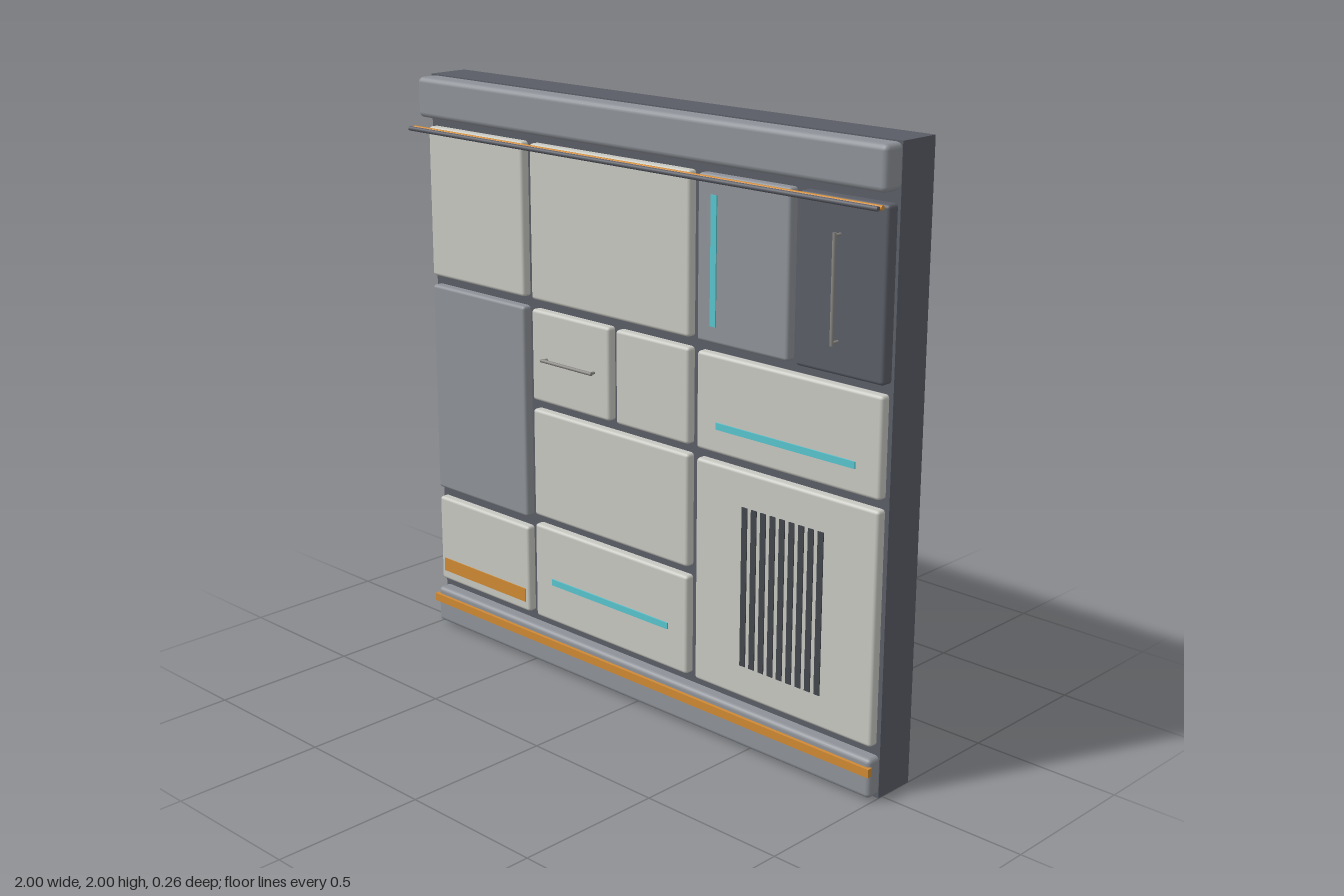
import * as THREE from 'three';
import { RoundedBoxGeometry } from 'three/addons/geometries/RoundedBoxGeometry.js';

const mat = (name, color) => {
  const m = new THREE.MeshStandardMaterial({ color });
  m.name = name;
  return m;
};

export function createModel() {
  const group = new THREE.Group();
  const dark = mat('dark grey', 0x5a5d66);
  const grey = mat('mid grey', 0x8e9298);
  const light = mat('light panel grey', 0xc8c8c2);
  const cyan = mat('cyan', 0x58c4ce);
  const orange = mat('orange', 0xd08a34);
  const vent = mat('vent grey', 0x42454c);
  const metal = mat('handle metal', 0x8a8883);

  const add = (name, geometry, material, x, y, z, parent = group) => {
    const mesh = new THREE.Mesh(geometry, material);
    mesh.name = name;
    mesh.position.set(x, y, z);
    parent.add(mesh);
    return mesh;
  };
  // Boxes are given by their limits on each axis; r > 0 softens the edges
  const box = (name, material, [x0, x1], [y0, y1], [z0, z1], r = 0) => {
    const size = [x1 - x0, y1 - y0, z1 - z0];
    const geometry = r ? new RoundedBoxGeometry(...size, 2, r) : new THREE.BoxGeometry(...size);
    return add(name, geometry, material, (x0 + x1) / 2, (y0 + y1) / 2, (z0 + z1) / 2);
  };

  // Wall slab with top and bottom beams
  box('wallSlab', dark, [-1, 1], [0, 2], [-0.13, 0.018]);
  box('topBeam', grey, [-0.997, 0.997], [1.86, 1.996], [0, 0.085], 0.018);
  box('bottomBeam', grey, [-0.997, 0.997], [0.01, 0.14], [0, 0.063], 0.015);
  box('bottomStripe', orange, [-1, 1], [0.088, 0.116], [0.055, 0.074]);

  // Raised panels: colour, x limits, y limits, front depth
  const panels = [
    [light, [-0.99, -0.52], [1.305, 1.825], 0.048],
    [light, [-0.485, 0.23], [1.305, 1.825], 0.048],
    [grey, [0.265, 0.63], [1.305, 1.825], 0.05],
    [dark, [0.665, 0.99], [1.305, 1.825], 0.057],
    [grey, [-0.99, -0.52], [0.525, 1.272], 0.05],
    [light, [-0.485, -0.12], [0.957, 1.272], 0.048],
    [light, [-0.09, 0.23], [0.957, 1.272], 0.048],
    [light, [0.265, 0.985], [0.957, 1.272], 0.048],
    [light, [-0.485, 0.23], [0.545, 0.925], 0.048],
    [light, [0.265, 0.985], [0.172, 0.925], 0.048],
    [light, [-0.99, -0.52], [0.172, 0.488], 0.048],
    [light, [-0.485, 0.23], [0.172, 0.513], 0.048],
  ];
  panels.forEach(([m, x, y, z], i) => box(`panel${i + 1}`, m, x, y, [0, z], 0.011));

  // Light strips and painted band
  box('verticalLightStrip', cyan, [0.323, 0.346], [1.36, 1.765], [0.047, 0.054]);
  box('rightLightStrip', cyan, [0.35, 0.895], [1.036, 1.058], [0.045, 0.052]);
  box('lowerLightStrip', cyan, [-0.4, 0.147], [0.309, 0.331], [0.045, 0.052]);
  box('paintedBand', orange, [-0.97, -0.537], [0.207, 0.256], [0.045, 0.051]);

  // Vent slats
  for (let i = 0; i < 9; i++) {
    const x = 0.472 + i * 0.0378;
    box(`ventSlat${i + 1}`, vent, [x - 0.011, x + 0.011], [0.28, 0.81], [0.042, 0.051]);
  }

  // Bar handles standing on two posts
  const handle = (name, length, rise, x, y, z, turn) => {
    const h = new THREE.Group();
    h.name = name;
    h.position.set(x, y, z);
    h.rotation.z = turn;
    add('bar', new THREE.CylinderGeometry(0.006, 0.006, length, 10), metal, 0, 0, rise, h);
    for (const s of [-1, 1]) {
      const post = add('post', new THREE.CylinderGeometry(0.005, 0.005, rise, 8), metal,
        0, s * (length / 2 - 0.008), rise / 2, h);
      post.rotation.x = Math.PI / 2;
    }
    group.add(h);
  };
  handle('verticalHandle', 0.33, 0.03, 0.822, 1.563, 0.054, 0);
  handle('horizontalHandle', 0.24, 0.022, -0.3, 1.11, 0.045, Math.PI / 2);

  // Pair of slim pipes running in front of the upper panels
  const rail = new THREE.CylinderGeometry(0.0075, 0.0075, 2, 10);
  add('innerPipe', rail, orange, 0, 1.825, 0.098).rotation.z = Math.PI / 2;
  add('outerPipe', rail, dark, 0, 1.825, 0.119).rotation.z = Math.PI / 2;

  return group;
}
